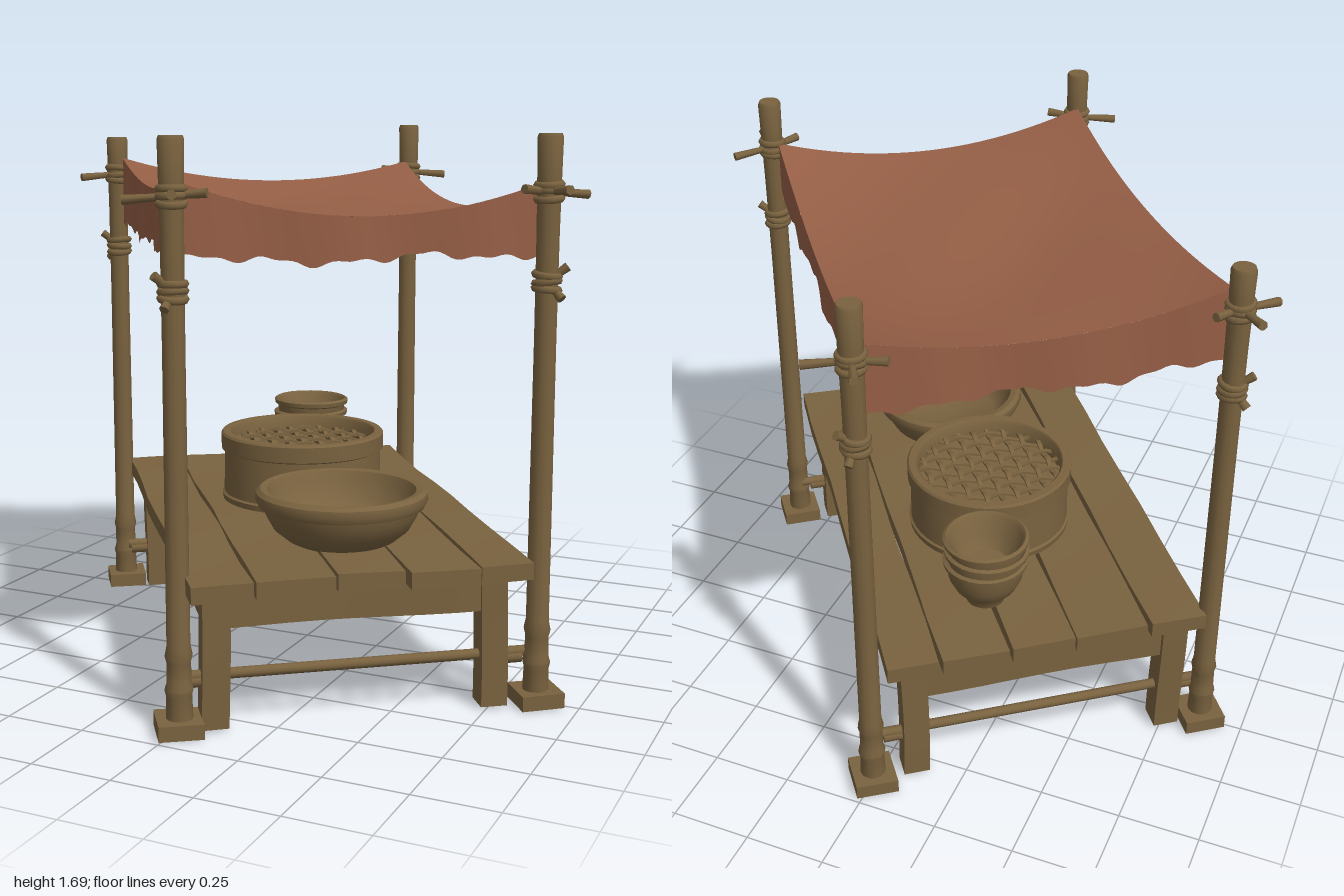
import * as THREE from 'three';
import { toCreasedNormals } from 'three/addons/utils/BufferGeometryUtils.js';

const wood = new THREE.MeshStandardMaterial({ color: 0x79623f, side: THREE.DoubleSide });
wood.name = 'brown wood';
const cloth = new THREE.MeshStandardMaterial({ color: 0x965f46, side: THREE.DoubleSide });
cloth.name = 'rust cloth';

const V2 = (p) => new THREE.Vector2(p[0], p[1]);

function add(parent, name, geo, mat, x = 0, y = 0, z = 0) {
  const mesh = new THREE.Mesh(geo, mat);
  mesh.name = name;
  mesh.position.set(x, y, z);
  parent.add(mesh);
  return mesh;
}

// Apply a rule to every vertex
function bend(geo, rule) {
  const p = geo.attributes.position, v = new THREE.Vector3();
  for (let i = 0; i < p.count; i++) {
    rule(v.fromBufferAttribute(p, i));
    p.setXYZ(i, v.x, v.y, v.z);
  }
  geo.computeVertexNormals();
  return geo;
}

// Slightly uneven timber, its long side along z
function timber(w, h, l, seed) {
  const g = bend(new THREE.BoxGeometry(w, h, l, 1, 1, 8), (v) => {
    v.x += 0.003 * Math.sin(v.z * 9 + seed * 2.3);
    v.y += 0.003 * Math.sin(v.z * 7 + seed * 1.7 + v.x * 8);
  });
  return toCreasedNormals(g, 0.6);
}

function lathe(points, sides = 36) {
  return toCreasedNormals(new THREE.LatheGeometry(points.map(V2), sides), 0.7);
}

// Height of the sagging cloth
const CX = 0.522, CZ = 0.7;
function clothY(x, z) {
  const u = x / CX, w = z / CZ, a = 1 - u * u, b = 1 - w * w;
  return 1.555 - 0.01 * u - 0.008 * w - b * (0.083 + 0.025 * u) - a * (0.085 + 0.01 * w) + 0.05 * a * b
    + 0.008 * a * b * Math.sin(7 * x + 5 * z);
}
// Long edges pull in a little at the middle, the front edge pushes out
const clothX = (x, z) => x * (1 - 0.02 * (1 - (z / CZ) ** 2));
const clothZ = (x, z) => z + 0.012 * (z / CZ + 1) / 2 * (1 - (x / CX) ** 2);

function buildCanopy(parent) {
  const g = new THREE.Group();
  g.name = 'canopy';
  parent.add(g);
  const top = new THREE.PlaneGeometry(2 * CX, 2 * CZ, 24, 30).rotateX(-Math.PI / 2);
  add(g, 'canopyCloth', bend(top, (v) => {
    v.set(clothX(v.x, v.z), clothY(v.x, v.z), clothZ(v.x, v.z));
  }), cloth);

  // Hanging flap with a ragged hem on each side
  const c = [[-CX, CZ], [CX, CZ], [CX, -CZ], [-CX, -CZ]];
  c.forEach((p, i) => {
    const q = c[(i + 1) % 4], len = Math.hypot(q[0] - p[0], q[1] - p[1]);
    const nx = (p[1] - q[1]) / len, nz = (q[0] - p[0]) / len;
    const flap = new THREE.PlaneGeometry(1, 1, 64, 4);
    add(g, 'canopyFlap', bend(flap, (v) => {
      const t = v.x + 0.5, d = 0.5 - v.y, s = t * len;
      const x = p[0] + (q[0] - p[0]) * t, z = p[1] + (q[1] - p[1]) * t;
      const ends = Math.min(1, 8 * t * (1 - t));
      const hem = 1.345 - 0.012 * ends + 0.01 * Math.sin(s * 11 + i * 1.9)
        + 0.008 * Math.sin(s * 29 + i) + 0.005 * Math.sin(s * 61 + 2 * i);
      const wave = d * ends * (0.001 + 0.006 * Math.sin(s * 15 + i * 2));
      v.set(clothX(x, z) + nx * wave, THREE.MathUtils.lerp(clothY(x, z), hem, d), clothZ(x, z) + nz * wave);
    }), cloth);
  });
}

// Rope tail that flares at the tip, given by its end offset
function ropeTail(parent, x, y, z, dx, dy, dz) {
  const end = new THREE.Vector3(dx, dy, dz);
  const tail = add(parent, 'ropeTail', new THREE.CylinderGeometry(0.014, 0.009, end.length(), 7, 1)
    .translate(0, end.length() / 2, 0), wood, x, y, z);
  tail.quaternion.setFromUnitVectors(new THREE.Vector3(0, 1, 0), end.normalize());
}

function buildPost(parent, x, z, height, i) {
  const g = new THREE.Group();
  g.name = 'post';
  g.position.set(x, 0, z);
  parent.add(g);
  add(g, 'postFoot', timber(0.13, 0.045, 0.13, i), wood, 0, 0.0235, 0);
  add(g, 'postShaft', lathe([[0, 0.03], [0.04, 0.03], [0.037, 0.11], [0.042, 0.13], [0.036, 0.15],
    [0.035, 0.21], [0.04, 0.23], [0.034, 0.26], [0.033, 0.7], [0.032, 1.1], [0.033, 1.4],
    [0.035, 1.55], [0.037, height - 0.01], [0.033, height], [0, height]], 12), wood);
  // Rope bindings
  [1.24, 1.26, 1.28, 1.495, 1.515, 1.535].forEach((y, k) => {
    const ring = add(g, 'ropeBinding', new THREE.TorusGeometry(0.034, 0.0115, 6, 16), wood, 0, y, 0);
    ring.rotation.set(Math.PI / 2 + 0.12 * Math.sin(k * 2 + i), 0.1 * Math.cos(k * 3 + i), 0);
  });
  const sx = Math.sign(x), sz = Math.sign(z);
  ropeTail(g, 0, 1.515, 0, sx * 0.13, -0.01, -sz * 0.03);
  ropeTail(g, 0, 1.515, 0, sx * 0.015, 0.01, sz * 0.12);
  ropeTail(g, 0, 1.515, 0, -sx * 0.09, 0.01, sz * 0.045);
  ropeTail(g, 0, 1.26, 0, sx * 0.055, 0.045, sz * 0.02);
  ropeTail(g, 0, 1.26, 0, sx * 0.03, -0.045, sz * 0.045);
}

function buildTable(parent) {
  const g = new THREE.Group();
  g.name = 'table';
  parent.add(g);
  // Top planks with narrow gaps
  const edges = [-0.515, -0.33, -0.095, 0.11, 0.325, 0.49];
  const front = [0.85, 0.845, 0.835, 0.845, 0.835];
  for (let i = 0; i < 5; i++) {
    const w = edges[i + 1] - edges[i] - 0.01, l = front[i] + 0.755;
    add(g, 'tablePlank', timber(w, 0.05, l, i), wood,
      (edges[i] + edges[i + 1]) / 2, 0.441 + 0.002 * Math.sin(i * 4), (front[i] - 0.755) / 2);
  }
  // Legs, long and short rails
  const xs = [-0.425, 0.402], zs = [-0.685, 0.705];
  xs.forEach((x, i) => {
    zs.forEach((z, j) => {
      const leg = timber(0.08, 0.08, 0.41, i * 2 + j).rotateX(Math.PI / 2);
      add(g, 'tableLeg', leg, wood, x, 0.21, z);
    });
    add(g, 'longRail', timber(0.05, 0.115, 1.42, i + 5), wood, x, 0.358, 0.01);
  });
  zs.forEach((z, j) => {
    add(g, 'shortRail', timber(0.05, 0.115, 0.8, j + 8).rotateY(Math.PI / 2), wood, -0.0125, 0.358, z);
    // Round stretcher running out to the posts
    const bar = add(g, 'stretcher', new THREE.CylinderGeometry(0.016, 0.016, 1.06, 10), wood, 0, 0.157, z);
    bar.rotation.z = Math.PI / 2;
    xs.forEach((x) => {
      const out = Math.sign(x) * 0.065;
      const peg = add(g, 'stretcherPeg', new THREE.CylinderGeometry(0.02, 0.02, 0.06, 10), wood, x + out, 0.142, z);
      peg.rotation.z = Math.PI / 2;
    });
  });
}

function buildSteamer(parent) {
  const g = new THREE.Group();
  g.name = 'steamerBasket';
  g.position.set(0, 0.465, -0.08);
  parent.add(g);
  add(g, 'basketWall', lathe([[0, 0], [0.265, 0], [0.268, 0.02], [0.261, 0.025], [0.259, 0.165], [0.269, 0.17],
    [0.27, 0.22], [0.264, 0.227], [0.242, 0.227], [0.236, 0.22], [0.234, 0.16], [0, 0.155]], 44), wood);
  // Woven lattice
  const n = 9, r = 0.234, step = 0.05;
  for (let i = 0; i < n; i++) {
    const d = (i - (n - 1) / 2) * step, l = 2 * Math.sqrt(r * r - d * d);
    for (const turn of [0, 1]) {
      const strip = new THREE.BoxGeometry(0.014, 0.007, l, 1, 1, 28);
      const s = bend(strip, (v) => {
        v.y += 0.006 * Math.cos(v.z * Math.PI / step + Math.PI * (i + turn));
      });
      const m = add(g, 'latticeStrip', s, wood, turn ? 0 : d, 0.185, turn ? d : 0);
      m.rotation.y = turn * Math.PI / 2;
    }
  }
}

function buildBowls(parent) {
  // Wide basin with a rolled rim
  add(parent, 'wideBowl', lathe([[0, 0], [0.14, 0], [0.165, 0.012], [0.205, 0.045], [0.23, 0.09], [0.236, 0.112],
    [0.25, 0.115], [0.26, 0.135], [0.257, 0.155], [0.244, 0.166], [0.224, 0.162], [0.212, 0.135],
    [0.19, 0.09], [0.16, 0.065], [0, 0.06]], 40), wood, 0, 0.465, 0.485);
  // Stack of three small bowls
  const stack = new THREE.Group();
  stack.name = 'bowlStack';
  stack.position.set(0.124, 0.465, -0.507);
  parent.add(stack);
  for (let i = 0; i < 3; i++) {
    const m = add(stack, 'smallBowl', lathe([[0, 0.01], [0.06, 0.01], [0.066, 0.03], [0.095, 0.062], [0.114, 0.1],
      [0.12, 0.145], [0.13, 0.15], [0.132, 0.164], [0.122, 0.17], [0.112, 0.16], [0.1, 0.1],
      [0.07, 0.06], [0, 0.05]], 30), wood, 0.004 * Math.sin(i * 3), i * 0.042, 0.004 * Math.cos(i * 2));
    m.rotation.z = 0.015 * Math.sin(i * 2);
  }
}

export function createModel() {
  const model = new THREE.Group();
  model.name = 'marketStall';
  const stall = new THREE.Group();
  stall.name = 'stall';
  stall.rotation.y = 0.643; // the stall stands at an angle
  model.add(stall);

  [[0.54, -0.72, 1.685], [-0.538, -0.717, 1.645], [-0.528, 0.727, 1.675], [0.539, 0.727, 1.677]]
    .forEach(([x, z, h], i) => buildPost(stall, x, z, h, i));
  buildTable(stall);
  buildSteamer(stall);
  buildBowls(stall);
  buildCanopy(stall);
  return model;
}
